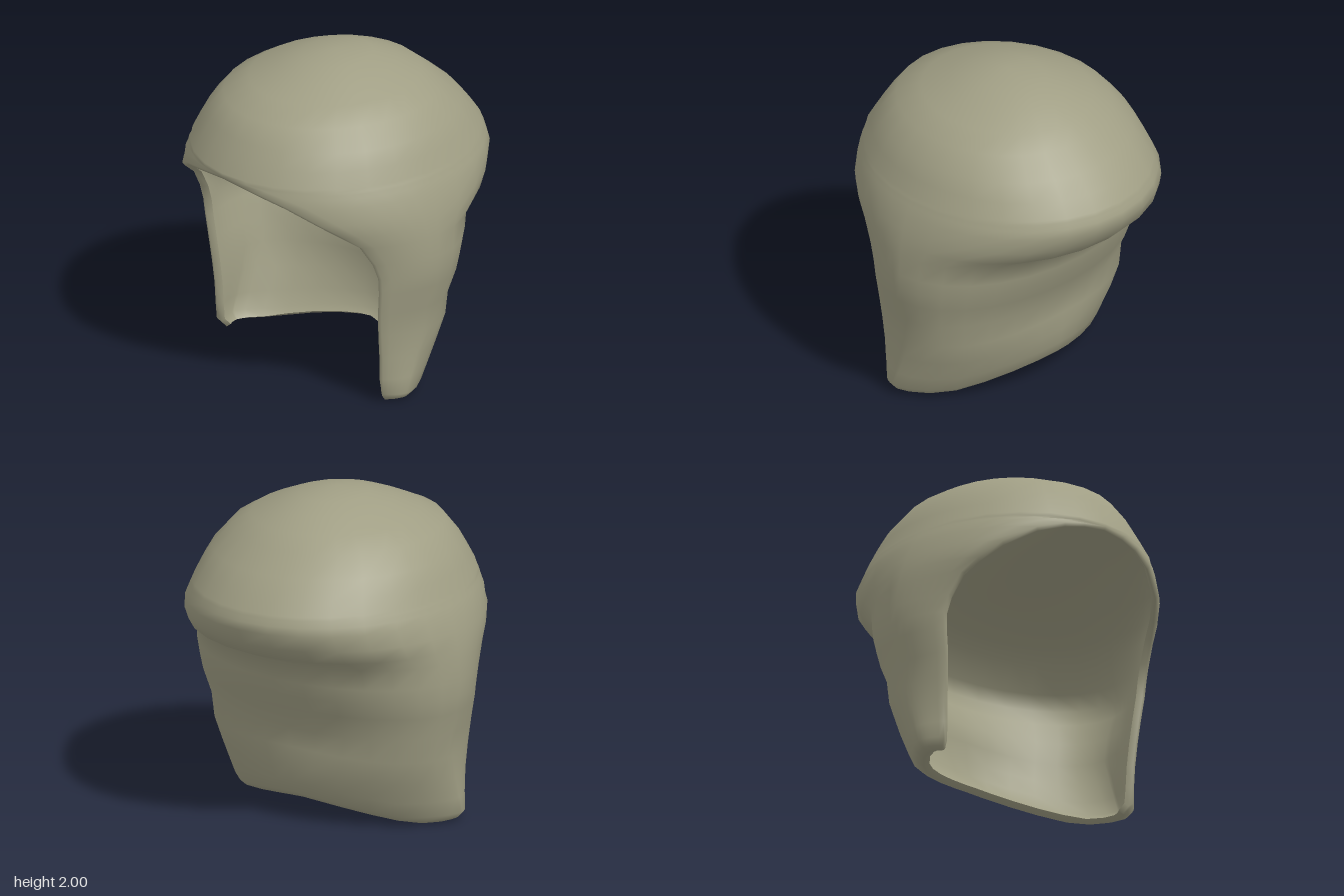
import * as THREE from 'three';
import { mergeVertices } from 'three/addons/utils/BufferGeometryUtils.js';

const { clamp, lerp } = THREE.MathUtils;
const SEG = 7; // columns per quadrant

// Cross-sections from crown to hem:
// [height, half width, back z, x of front edge, z of front edge]
const ROWS = [
  [2.0, 0, 0.03, 0, 0.03],
  [1.97, 0.2, -0.22, 0, 0.24],
  [1.92, 0.33, -0.36, 0, 0.4],
  [1.85, 0.49, -0.51, 0, 0.57],
  [1.77, 0.62, -0.61, 0, 0.74],
  [1.65, 0.72, -0.75, 0, 0.83],
  [1.55, 0.77, -0.84, 0, 0.89],
  [1.46, 0.81, -0.905, 0, 0.942],
  [1.44, 0.82, -0.915, 0, 0.943],
  [1.425, 0.827, -0.92, 0.15, 0.93],
  [1.4, 0.837, -0.932, 0.28, 0.9],
  [1.35, 0.86, -0.945, 0.44, 0.83],
  [1.25, 0.89, -0.9, 0.61, 0.71],
  [1.16, 0.905, -0.81, 0.7, 0.59],
  [1.08, 0.915, -0.63, 0.75, 0.49],
  [0.95, 0.92, -0.6, 0.78, 0.41],
  [0.85, 0.913, -0.56, 0.79, 0.375],
  [0.75, 0.9, -0.52, 0.785, 0.365],
  [0.6, 0.857, -0.445, 0.765, 0.355],
  [0.45, 0.835, -0.44, 0.752, 0.34],
  [0.3, 0.825, -0.435, 0.745, 0.325],
  [0.16, 0.82, -0.41, 0.74, 0.32],
  [0.06, 0.82, -0.38, 0.735, 0.315],
  [0.02, 0.785, -0.34, 0.72, 0.28],
];
const FIRST_OPEN = ROWS.findIndex((r) => r[3] > 0);

// Points of one section, from the left front edge round the back to the right
function section([y, w, b, xr, zr]) {
  // towards the hem the widest line moves forward and the back corners tuck in
  const tuck = clamp((0.45 - y) / 0.4, 0, 1);
  const zc = 0.03 + 0.15 * tuck;
  const power = 1 + 0.3 * tuck;
  const low = clamp((0.6 - y) / 0.58, 0, 1);
  const edge = xr > 0 ? Math.acos(xr / w) : Math.PI / 2;
  const front = (zr - zc) / Math.sin(edge);
  const half = [];
  for (let j = 0; j <= 2 * SEG; j++) {
    const a = j <= SEG ? edge * (1 - j / SEG) : (Math.PI / 2) * (j / SEG - 1);
    const s = Math.sin(a);
    const c = Math.abs(Math.cos(a));
    const isFront = j <= SEG;
    const x = c < 1e-6 ? 0 : w * (isFront ? c : c ** power);
    const z = zc + (isFront ? s * front : s ** power * (b - zc));
    // the hem rises to the middle of the nape
    const arch = 0.125 * (1 - Math.min(1, x / 0.62) ** 1.4) * low;
    half.push(new THREE.Vector3(x, y + arch, z));
  }
  const other = half.slice(0, -1).reverse().map((p) => new THREE.Vector3(-p.x, p.y, p.z));
  return half.concat(other);
}

// Lining: drawn inward below, closing to a sloping ceiling that meets the brow
function liningSection([y, w, b, xr, zr]) {
  const x1 = xr * 0.94;
  const z1 = zr - 0.025;
  const depth = Math.sin(clamp((1.44 - y) / 0.62, 0, 1) * Math.PI / 2);
  return section([y, w - 0.085, b + 0.08, x1, z1]).map((p, k) => new THREE.Vector3(
    lerp(x1 * (1 - k / (2 * SEG)), p.x, depth),
    p.y,
    lerp(z1, p.z, depth),
  ));
}

// Smooth surface through one or more grids of points
function surface(grids) {
  const pos = [];
  const index = [];
  for (const { grid, flip } of grids) {
    const base = pos.length / 3;
    const n = grid[0].length;
    grid.forEach((row) => row.forEach((p) => pos.push(p.x, p.y, p.z)));
    for (let i = 0; i < grid.length - 1; i++) {
      for (let j = 0; j < n - 1; j++) {
        const a = base + i * n + j;
        const b = a + n;
        if (flip) index.push(a, a + 1, b, b, a + 1, b + 1);
        else index.push(a, b, a + 1, b, b + 1, a + 1);
      }
    }
  }
  let geo = new THREE.BufferGeometry();
  geo.setAttribute('position', new THREE.Float32BufferAttribute(pos, 3));
  geo.setIndex(index);
  geo = mergeVertices(geo, 1e-4);
  geo.computeVertexNormals();
  return geo;
}

// Edge loop: down the left front, along the hem, up the right front
function edgeLoop(grid) {
  const last = grid[grid.length - 1];
  const left = grid.map((r) => r[0]);
  const right = grid.map((r) => r[r.length - 1]).reverse();
  return [...left, ...last.slice(1, -1), ...right];
}

export function createModel() {
  const group = new THREE.Group();
  group.name = 'headCover';
  const material = new THREE.MeshStandardMaterial({ color: 0xa09e84 });

  const outer = ROWS.map(section);
  const inner = ROWS.slice(FIRST_OPEN - 1).map(liningSection);

  // Rounded lip joining shell and lining
  const outerEdge = edgeLoop(outer.slice(FIRST_OPEN - 1));
  const innerEdge = edgeLoop(inner);
  const lip = outerEdge.map((p, k) => {
    const m = p.clone().lerp(innerEdge[k], 0.5);
    const facesDown = p.y > 1.1 || p.y < 0.15;
    return facesDown ? m.add(new THREE.Vector3(0, -0.02, 0)) : m.add(new THREE.Vector3(0, 0, 0.02));
  });

  const add = (name, grids) => {
    const mesh = new THREE.Mesh(surface(grids), material);
    mesh.name = name;
    group.add(mesh);
  };
  add('shellWithLip', [
    { grid: outer },
    { grid: [outerEdge, lip, innerEdge] },
  ]);
  add('lining', [{ grid: inner, flip: true }]);
  return group;
}
